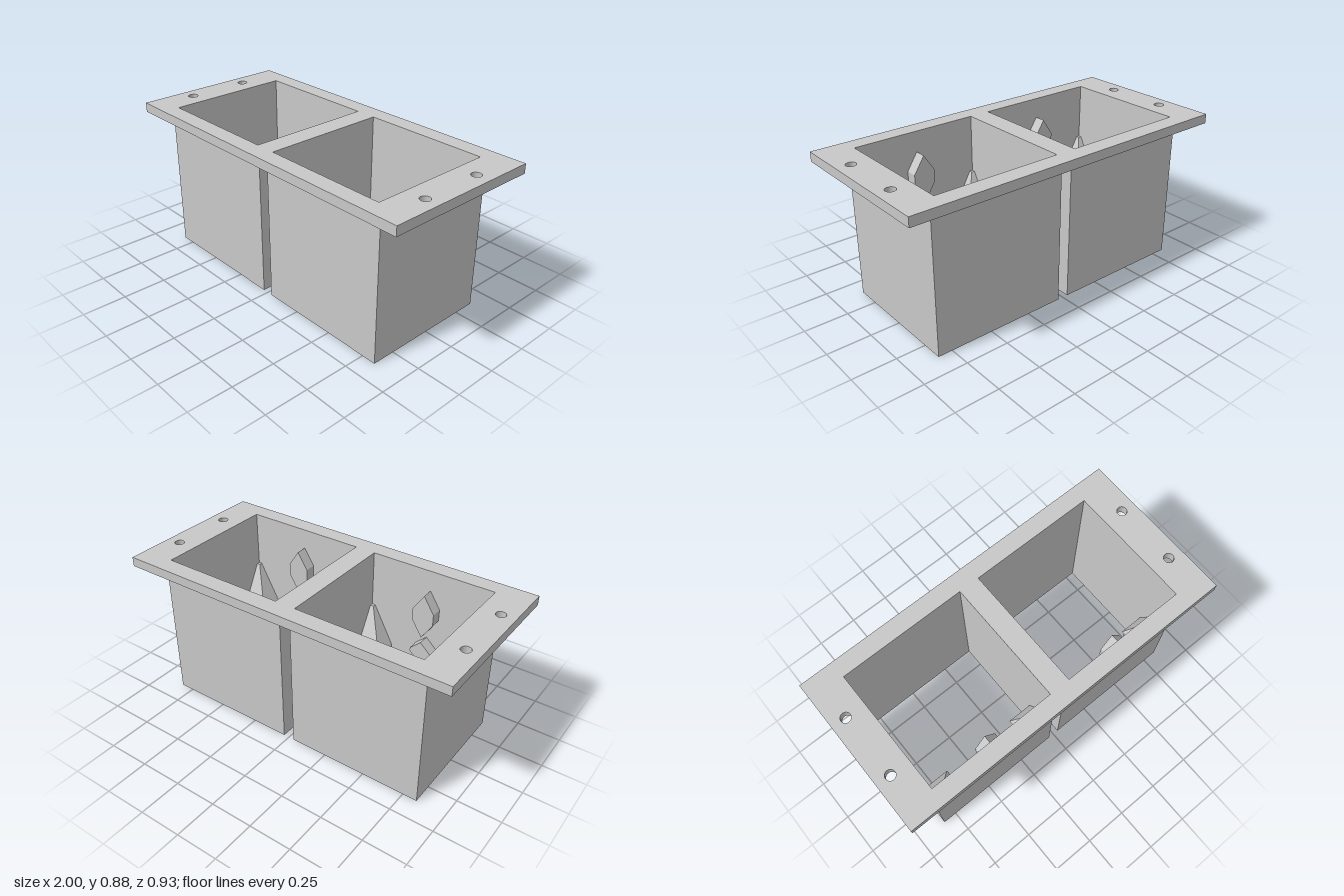
import * as THREE from 'three';
import { ConvexGeometry } from 'three/addons/geometries/ConvexGeometry.js';

const grey = new THREE.MeshStandardMaterial({ color: 0xc8c8c8 });
grey.name = 'plainGrey';

const INNER = { x0: 0.061, x1: 0.802, z0: -0.363, z1: 0.366 };
const FLANGE_Y = 0.82, TOP_Y = 0.875;

function mesh(name, geometry) {
  const m = new THREE.Mesh(geometry, grey);
  m.name = name;
  return m;
}

// Plan points are [x, z]; shapes are extruded upwards from y0 to y1
const planPoints = (pts) => pts.map(([x, z]) => new THREE.Vector2(x, -z));
const circleHole = (x, z, r) => new THREE.Path().absarc(x, -z, r, 0, Math.PI * 2, true);

function rect(xa, xb, z0, z1) {
  return planPoints([[xa, z0], [xb, z0], [xb, z1], [xa, z1]]);
}

function slab(outline, holes, y0, y1) {
  // A counter-clockwise outline lets the extrusion orient its holes correctly
  if (THREE.ShapeUtils.isClockWise(outline)) outline.reverse();
  const shape = new THREE.Shape(outline);
  shape.holes.push(...holes);
  const g = new THREE.ExtrudeGeometry(shape, { depth: y1 - y0, bevelEnabled: false, curveSegments: 24 });
  return g.rotateX(-Math.PI / 2).translate(0, y0, 0);
}

function opening(side) {
  return new THREE.Path(rect(side * INNER.x0, side * INNER.x1, INNER.z0, INNER.z1));
}

// Screw boss in a front corner; dir points from the side wall into the bay
function cornerBoss(x, dir) {
  const boss = new THREE.Group();
  boss.name = 'cornerBoss';
  const s = 0.146, tip = 0.02, base = 0.14, shoulder = 0.31, apex = 0.54;
  const at = ([u, v]) => [x + dir * u, INNER.z1 - v];
  const hole = () => circleHole(...at([s / 2, s / 2]), 0.045);
  const square = [[0, 0], [s, 0], [s, s], [0, s]];
  const notched = [[0, 0], [s, 0], [s, 0.118], [0.13, 0.102], [0.102, 0.13], [0.118, s], [0, s]];
  boss.add(mesh('bossFoot', slab(planPoints(square.map(at)), [hole()], base, base + 0.012)));
  boss.add(mesh('bossBody', slab(planPoints(notched.map(at)), [hole()], base + 0.012, shoulder)));
  // Tapered top leaning into the corner
  const pts = [];
  for (const [u, v] of square) {
    const [bx, bz] = at([u, v]);
    const [tx, tz] = at([u * tip / s, v * tip / s]);
    pts.push(new THREE.Vector3(bx, shoulder, bz), new THREE.Vector3(tx, apex, tz));
  }
  boss.add(mesh('bossTaper', new ConvexGeometry(pts)));
  return boss;
}

// Pointed six-sided tab standing off the front wall
function wallTab(x, bottom, top, point) {
  const w = 0.065, depth = 0.068;
  const outline = [[0, top], [-w, top - point], [-w, bottom + point], [0, bottom], [w, bottom + point], [w, top - point]];
  const shape = new THREE.Shape(outline.map(([a, b]) => new THREE.Vector2(x + a, b)));
  const g = new THREE.ExtrudeGeometry(shape, { depth, bevelEnabled: false });
  return mesh('wallTab', g.translate(0, 0, INNER.z1 - depth));
}

export function createModel() {
  const model = new THREE.Group();
  model.name = 'doubleBayHousing';

  // Mounting flange with two openings and four screw holes
  const holes = [opening(-1), opening(1)];
  for (const x of [-0.917, 0.917]) for (const z of [-0.182, 0.188]) holes.push(circleHole(x, z, 0.028));
  model.add(mesh('flange', slab(rect(-1, 1, -0.465, 0.465), holes, FLANGE_Y, TOP_Y)));

  for (const side of [-1, 1]) {
    const bay = new THREE.Group();
    bay.name = side > 0 ? 'leftBay' : 'rightBay';
    // Open-ended sleeve
    const outline = rect(side * 0.033, side * 0.832, -0.372, 0.383);
    bay.add(mesh('sleeve', slab(outline, [opening(side)], 0, FLANGE_Y)));
    bay.add(cornerBoss(side * INNER.x0, side), cornerBoss(side * INNER.x1, -side));
    bay.add(wallTab(side * 0.432, 0.485, 0.755, 0.1), wallTab(side * 0.432, 0.31, 0.45, 0.06));
    model.add(bay);
  }
  return model;
}
